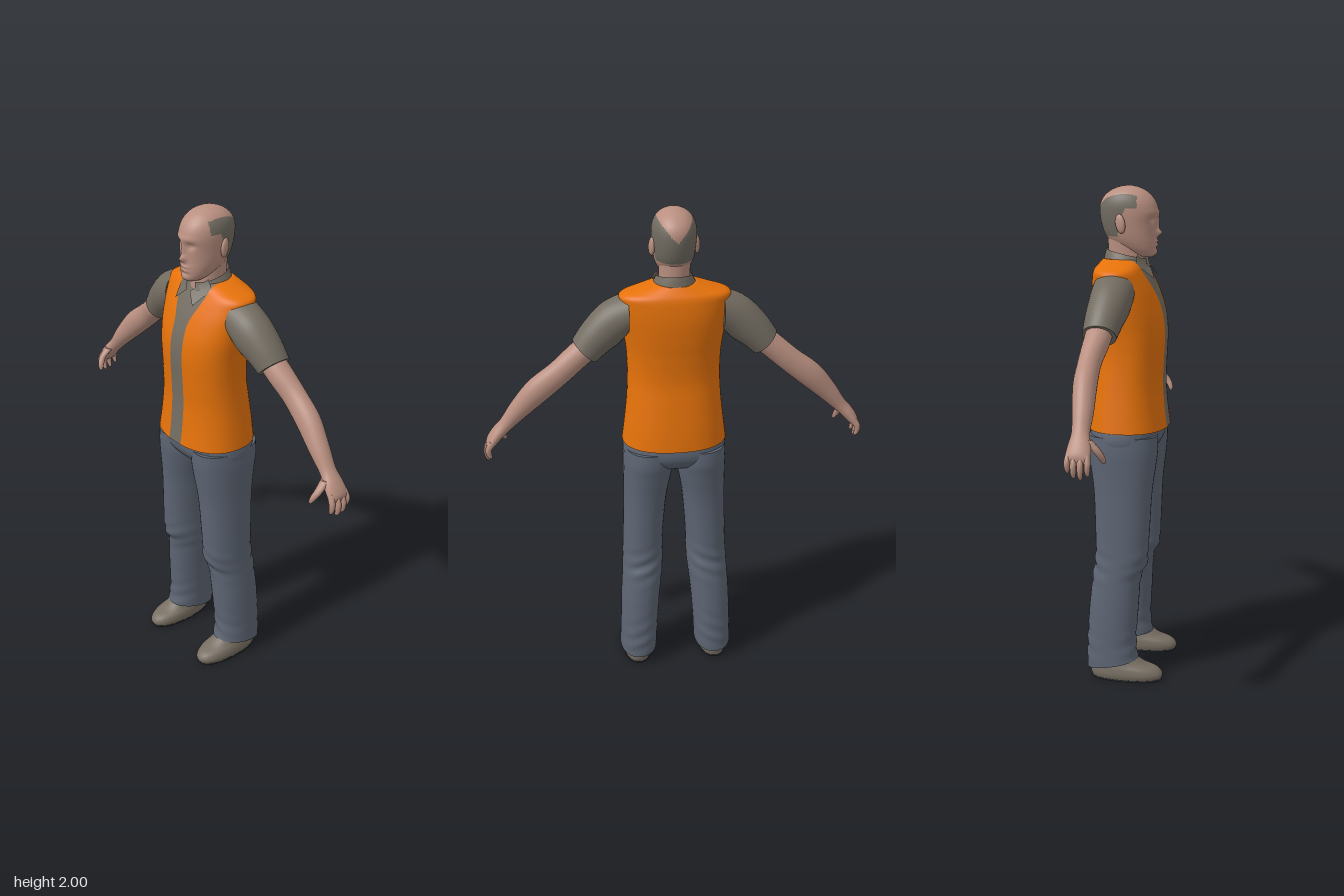
import * as THREE from 'three';

const mat = (name, color, side = THREE.FrontSide) => {
  const m = new THREE.MeshStandardMaterial({ color, side });
  m.name = name;
  return m;
};

// Smooth interpolation between rows of numbers.
function smoothRows(rows, sub) {
  const out = [];
  const at = (i) => rows[Math.min(rows.length - 1, Math.max(0, i))];
  for (let i = 0; i < rows.length - 1; i++) {
    for (let s = 0; s < sub; s++) {
      const t = s / sub;
      out.push(at(i).map((b, k) => {
        const a = at(i - 1)[k], c = at(i + 1)[k], d = at(i + 2)[k];
        return b + 0.5 * t * (c - a + t * (2 * a - 5 * b + 4 * c - d + t * (3 * (b - c) + d - a)));
      }));
    }
  }
  out.push(rows[rows.length - 1]);
  return out;
}

// Horizontal section: y, centre x, half width, front z, back z, tilt (rise towards the front).
const level = (y, cx, rx, zf, zb, tilt = 0) => [cx, y, (zf + zb) / 2, rx, (zf - zb) / 2, 0, tilt];

// Skin over sections [x, y, z, half width, half depth, angle of width axis, tilt].
function loft(rows, { cols = 32, sub = 4, n = 2, range = null, deform = null, caps = true, pick = null } = {}) {
  const rings = smoothRows(rows, sub);
  const pos = [], faces = [[], []];
  const v = new THREE.Vector3();
  const stride = range ? cols + 1 : cols;
  const se = (s) => Math.sign(s) * Math.pow(Math.abs(s), 2 / n);
  for (const r of rings) {
    const [t0, t1] = range ? range(r) : [0, Math.PI * 2];
    for (let j = 0; j < stride; j++) {
      const t = t0 + (t1 - t0) * j / cols;
      const u = Math.max(r[3], 0.001) * se(Math.sin(t));
      const w = Math.max(r[4], 0.001) * se(Math.cos(t));
      const a = THREE.MathUtils.degToRad(r[5]);
      v.set(r[0] + u * Math.cos(a), r[1] + u * Math.sin(a) + w * r[6], r[2] + w);
      if (deform) deform(v);
      pos.push(v.x, v.y, v.z);
    }
  }
  const tri = (a, b, c) => {
    const mid = [0, 1, 2].map((k) => (pos[a * 3 + k] + pos[b * 3 + k] + pos[c * 3 + k]) / 3);
    faces[pick && pick(...mid) ? 1 : 0].push(a, b, c);
  };
  for (let i = 0; i < rings.length - 1; i++) {
    for (let j = 0; j < cols; j++) {
      const k = (j + 1) % stride;
      const a = i * stride + j, b = i * stride + k, c = b + stride, d = a + stride;
      tri(a, b, c);
      tri(a, c, d);
    }
  }
  if (caps) {
    for (const i of [0, rings.length - 1]) {
      const base = pos.length / 3;
      pos.push(...pos.slice(i * stride * 3, (i + 1) * stride * 3), ...rings[i].slice(0, 3));
      for (let j = 0; j < stride; j++) {
        const p = base + j, q = base + (j + 1) % stride, m = base + stride;
        if (i) tri(p, q, m); else tri(q, p, m);
      }
    }
  }
  const g = new THREE.BufferGeometry();
  g.setAttribute('position', new THREE.Float32BufferAttribute(pos, 3));
  g.setIndex([...faces[0], ...faces[1]]);
  if (pick) {
    g.addGroup(0, faces[0].length, 0);
    g.addGroup(faces[0].length, faces[1].length, 1);
  }
  g.computeVertexNormals();
  return g;
}

// Tapered limb through points [x, y, z, half width, half depth] lying across the body.
function limb(points, opts) {
  return loft(points.map((p, i) => {
    const a = points[Math.max(0, i - 1)], b = points[Math.min(points.length - 1, i + 1)];
    return [...p, THREE.MathUtils.radToDeg(Math.atan2(b[1] - a[1], b[0] - a[0])) - 90, 0];
  }), opts);
}

function mirrored(geo) {
  const g = geo.clone().applyMatrix4(new THREE.Matrix4().makeScale(-1, 1, 1));
  const ix = g.index.array;
  for (let i = 0; i < ix.length; i += 3) [ix[i], ix[i + 1]] = [ix[i + 1], ix[i]];
  return g;
}

export function createModel() {
  const model = new THREE.Group();
  const skin = mat('skin', 0xb98f80), hair = mat('hair', 0x716c61);
  const orange = mat('vest orange', 0xe6720a);
  const shirt = mat('shirt grey', 0x736c61, THREE.DoubleSide);
  const denim = mat('trouser blue grey', 0x5d6573);
  const leather = mat('shoe grey', 0x776e62), rubber = mat('sole dark', 0x2f3238);
  const add = (name, geo, m) => {
    const mesh = new THREE.Mesh(geo, m);
    mesh.name = name;
    model.add(mesh);
  };
  const pair = (name, geo, m) => {
    add('left' + name, geo, m);
    add('right' + name, mirrored(geo), m);
  };

  // Head, with the face shaped by soft bumps [x, y, width, height, amount]
  const bumps = [
    [0, 1.85, 0.010, 0.030, 0.010], [0, 1.817, 0.013, 0.013, 0.020],
    [0.033, 1.872, 0.017, 0.013, -0.012], [-0.033, 1.872, 0.017, 0.013, -0.012],
    [0, 1.897, 0.055, 0.010, 0.004], [0, 1.784, 0.022, 0.005, 0.006],
    [0, 1.777, 0.024, 0.003, -0.005], [0, 1.770, 0.020, 0.005, 0.006],
    [0, 1.757, 0.025, 0.006, -0.005], [0, 1.738, 0.025, 0.010, 0.004],
  ];
  const face = (v) => {
    if (v.z < 0.02) return;
    let dz = 0;
    for (const [x, y, w, h, a] of bumps) dz += a * Math.exp(-(((v.x - x) / w) ** 2) - ((v.y - y) / h) ** 2);
    v.z += dz;
  };
  const hairline = (x, y, z) => {
    const low = z > -0.005 ? 1.915 : z > -0.035 ? 1.915 + (z + 0.005) * 3.4 : 1.805;
    return z < 0.04 && y > low && y < 1.89 + Math.min(0.08, Math.abs(x) * 1.15);
  };
  const head = loft([
    level(1.722, 0, 0.020, 0.090, 0.040), level(1.730, 0, 0.038, 0.101, 0.015),
    level(1.75, 0, 0.056, 0.107, -0.03), level(1.78, 0, 0.070, 0.108, -0.075),
    level(1.81, 0, 0.078, 0.106, -0.100), level(1.85, 0, 0.083, 0.107, -0.114),
    level(1.89, 0, 0.086, 0.113, -0.121), level(1.925, 0, 0.085, 0.107, -0.120),
    level(1.955, 0, 0.076, 0.090, -0.106), level(1.98, 0, 0.056, 0.062, -0.078),
    level(1.995, 0, 0.028, 0.028, -0.042), level(2.0, 0, 0.003, 0, -0.008),
  ], { cols: 88, sub: 6, n: 2.1, deform: face, pick: hairline });
  add('head', head, [skin, hair]);
  const ear = new THREE.SphereGeometry(1, 16, 12).scale(0.011, 0.038, 0.021);
  pair('Ear', ear.rotateX(-0.2).rotateY(0.3).translate(0.087, 1.855, -0.022), skin);
  add('neck', loft([
    level(1.63, 0, 0.062, 0.062, -0.085), level(1.70, 0, 0.060, 0.062, -0.086), level(1.80, 0, 0.062, 0.05, -0.09),
  ], { n: 2.1 }), skin);

  // Collar: a standing band open at the throat, with two folded points
  add('collarBand', loft([
    level(1.69, 0, 0.092, 0.082, -0.108, -0.12), level(1.715, 0, 0.080, 0.076, -0.102, -0.18),
    level(1.735, 0, 0.070, 0.072, -0.096, -0.22),
  ], { range: () => [0.3, Math.PI * 2 - 0.3], caps: false }), shirt);
  const flap = new THREE.BufferGeometry();
  flap.setAttribute('position', new THREE.Float32BufferAttribute([
    0.010, 1.680, 0.086, 0.052, 1.640, 0.108, 0.088, 1.700, 0.040, 0.066, 1.735, 0.040], 3));
  flap.setIndex([0, 1, 2, 0, 2, 3]);
  flap.computeVertexNormals();
  pair('CollarPoint', flap, shirt);

  // Torso: orange vest wrapped around a grey shirt front that widens at the neck
  const torso = [
    level(1.04, 0, 0.211, 0.160, -0.165), level(1.12, 0, 0.201, 0.150, -0.158),
    level(1.22, 0, 0.190, 0.143, -0.145), level(1.32, 0, 0.185, 0.146, -0.132),
    level(1.42, 0, 0.188, 0.150, -0.135), level(1.50, 0, 0.198, 0.141, -0.142),
    level(1.58, 0, 0.209, 0.115, -0.146), level(1.64, 0, 0.215, 0.086, -0.142),
    level(1.675, 0, 0.213, 0.066, -0.135), level(1.695, 0, 0.155, 0.058, -0.122),
    level(1.715, 0, 0.085, 0.050, -0.105),
  ];
  const n = 2.3;
  const opening = (r) => {
    const w = 0.036 + 0.045 * THREE.MathUtils.smoothstep(r[1], 1.54, 1.7);
    return Math.asin(Math.min(1, Math.pow(w / r[3], n / 2)));
  };
  add('vest', loft(torso, { cols: 56, sub: 5, n, range: (r) => [opening(r), Math.PI * 2 - opening(r)] }), orange);
  add('shirtFront', loft(torso, { cols: 8, sub: 5, n, range: (r) => [-opening(r), opening(r)], caps: false }), shirt);

  // Sleeves and bare arms
  pair('Sleeve', loft([
    [0.185, 1.598, -0.030, 0.080, 0.085, -90, 0], [0.25, 1.557, -0.030, 0.086, 0.082, -110, 0],
    [0.31, 1.505, -0.038, 0.074, 0.074, -128, 0], [0.355, 1.455, -0.045, 0.064, 0.066, -135, 0],
  ], { sub: 6 }), shirt);
  pair('Arm', limb([
    [0.33, 1.48, -0.045, 0.050, 0.052], [0.39, 1.43, -0.05, 0.050, 0.050],
    [0.46, 1.37, -0.058, 0.050, 0.044], [0.545, 1.30, -0.055, 0.052, 0.045],
    [0.62, 1.22, -0.045, 0.041, 0.040], [0.675, 1.155, -0.040, 0.029, 0.034],
    [0.712, 1.115, -0.036, 0.026, 0.043], [0.738, 1.080, -0.036, 0.021, 0.047],
    [0.746, 1.060, -0.036, 0.012, 0.042],
  ], { cols: 28, sub: 5 }), skin);

  // Fingers, from the little finger at the back to the index finger, then the thumb
  [[-0.073, 1.022], [-0.049, 1.005], [-0.024, 1.000], [0.001, 1.012]].forEach(([z, tip], i) => {
    const mid = (1.085 + tip) / 2, out = 0.758 - Math.abs(i - 1.5) * 0.006;
    pair('Finger' + (i + 1), limb([
      [0.733, 1.09, z * 0.9 - 0.004, 0.014, 0.012], [out, mid + 0.01, z, 0.013, 0.012],
      [out, tip + 0.02, z, 0.011, 0.010], [out - 0.006, tip + 0.004, z, 0.007, 0.006],
      [out - 0.007, tip, z, 0.002, 0.002],
    ], { cols: 12, sub: 3 }), skin);
  });
  pair('Thumb', limb([
    [0.695, 1.135, -0.012, 0.020, 0.018], [0.698, 1.10, 0.022, 0.016, 0.016],
    [0.688, 1.07, 0.040, 0.012, 0.013], [0.680, 1.05, 0.046, 0.007, 0.007], [0.679, 1.046, 0.046, 0.002, 0.002],
  ], { cols: 12, sub: 3 }), skin);

  // Trousers: hips and two loose legs with soft folds at knee and hem
  add('trouserHips', loft([
    level(0.925, 0, 0.13, 0.06, -0.08), level(0.95, 0, 0.19, 0.105, -0.125),
    level(1.0, 0, 0.210, 0.136, -0.154), level(1.07, 0, 0.198, 0.135, -0.145),
  ], { cols: 48, n: 2.4 }), denim);
  const folds = (v) => {
    const f = Math.exp(-(((v.y - 0.48) / 0.07) ** 2)) + 0.8 * Math.exp(-(((v.y - 0.15) / 0.08) ** 2));
    v.z += 0.004 * f * Math.sin(v.y * 95 + v.x * 40);
  };
  pair('TrouserLeg', loft([
    level(0.065, 0.162, 0.078, 0.066, -0.145, 0.2), level(0.15, 0.158, 0.078, 0.056, -0.145, 0.1),
    level(0.30, 0.150, 0.081, 0.064, -0.138), level(0.43, 0.139, 0.084, 0.073, -0.125),
    level(0.50, 0.135, 0.084, 0.098, -0.115), level(0.60, 0.132, 0.083, 0.105, -0.115),
    level(0.78, 0.122, 0.088, 0.114, -0.123), level(0.90, 0.111, 0.099, 0.128, -0.140),
    level(0.96, 0.107, 0.103, 0.134, -0.151), level(1.02, 0.106, 0.100, 0.134, -0.150),
  ], { cols: 36, sub: 8, n: 2.2, deform: folds }), denim);

  // Shoes and dark soles
  pair('Shoe', loft([
    level(0.006, 0.165, 0.060, 0.165, -0.125), level(0.025, 0.165, 0.065, 0.170, -0.130),
    level(0.048, 0.164, 0.063, 0.150, -0.130), level(0.068, 0.163, 0.058, 0.095, -0.125),
    level(0.105, 0.162, 0.050, 0.045, -0.115),
  ], { n: 2.3 }), leather);
  pair('Sole', loft([
    level(0, 0.165, 0.060, 0.165, -0.126), level(0.008, 0.165, 0.0615, 0.167, -0.1275),
  ], { n: 2.3, sub: 1 }), rubber);

  return model;
}
